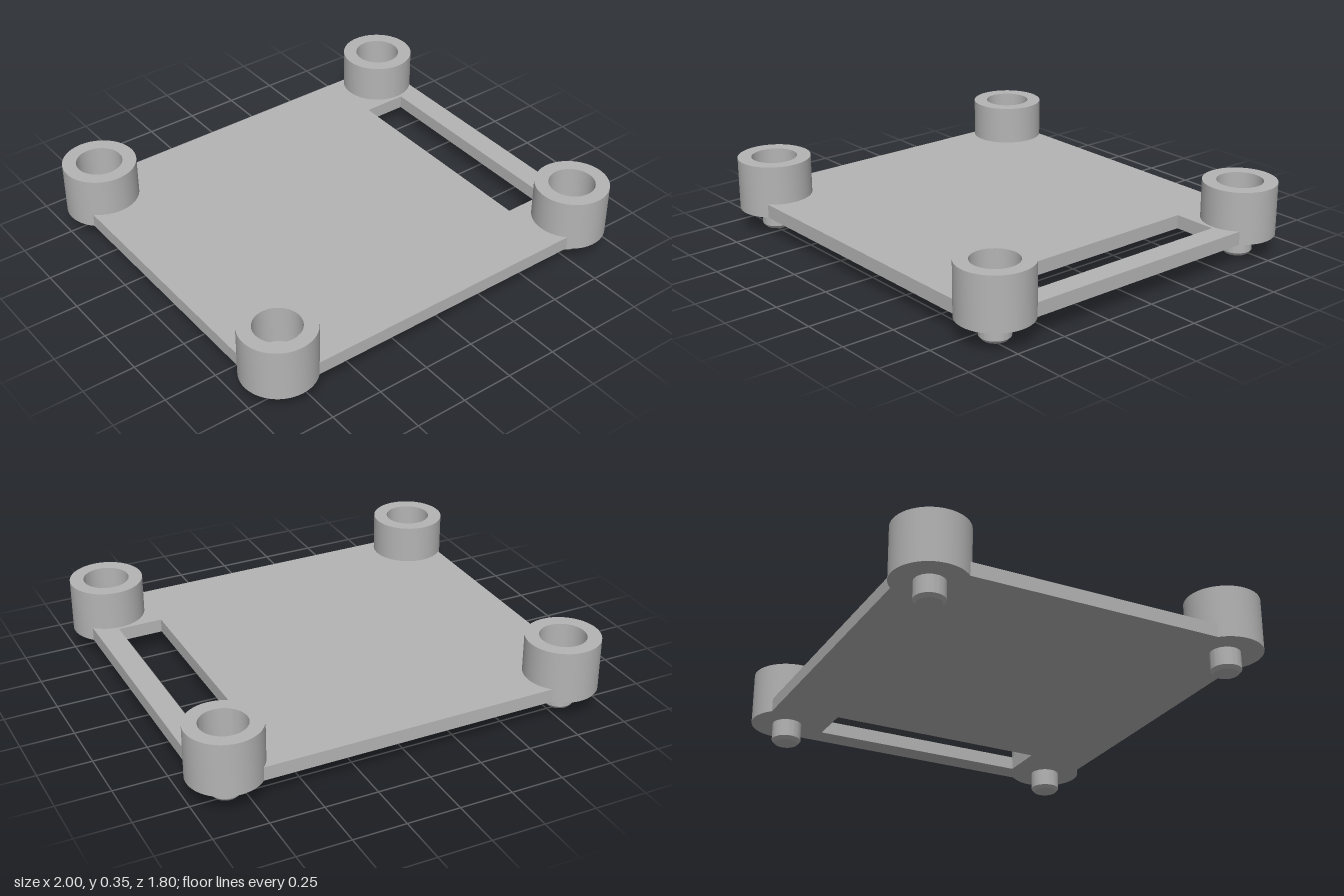
import * as THREE from 'three';
import { toCreasedNormals } from 'three/addons/utils/BufferGeometryUtils.js';

const BASE = 0.1, PLATE_TOP = 0.165;

export function createModel() {
  const model = new THREE.Group();
  model.name = 'stackingTray';
  const grey = new THREE.MeshStandardMaterial({ color: 0xb4b4b4 });
  grey.name = 'plain grey';

  // Flat plate with a long slot near its left edge
  const rect = (Kind, x0, x1, z) => {
    const path = new Kind();
    path.moveTo(x0, -z);
    path.lineTo(x1, -z);
    path.lineTo(x1, z);
    path.lineTo(x0, z);
    path.closePath();
    return path;
  };
  const outline = rect(THREE.Shape, -0.949, 0.949, 0.847);
  outline.holes.push(rect(THREE.Path, 0.627, 0.84, 0.537));
  const plateGeometry = new THREE.ExtrudeGeometry(outline, { depth: PLATE_TOP - BASE, bevelEnabled: false });
  plateGeometry.rotateX(-Math.PI / 2).translate(0, BASE, 0);
  const plate = new THREE.Mesh(plateGeometry, grey);
  plate.name = 'plate';
  model.add(plate);

  // Corner post: chamfered pin below, round cup with a blind socket above
  const profile = [
    [0, 0], [0.056, 0], [0.07, 0.016], [0.07, BASE],
    [0.173, BASE], [0.173, 0.35], [0.108, 0.35],
    [0.108, PLATE_TOP + 0.002], [0, PLATE_TOP + 0.002],
  ].map(([r, y]) => new THREE.Vector2(r, y));
  const postGeometry = toCreasedNormals(new THREE.LatheGeometry(profile, 64), 0.5);
  for (const [x, side] of [[-1, 'Right'], [1, 'Left']]) {
    for (const [z, end] of [[-1, 'back'], [1, 'front']]) {
      const post = new THREE.Mesh(postGeometry, grey);
      post.name = `${end}${side}Post`;
      post.position.set(x * 0.827, 0, z * 0.725);
      model.add(post);
    }
  }
  return model;
}
